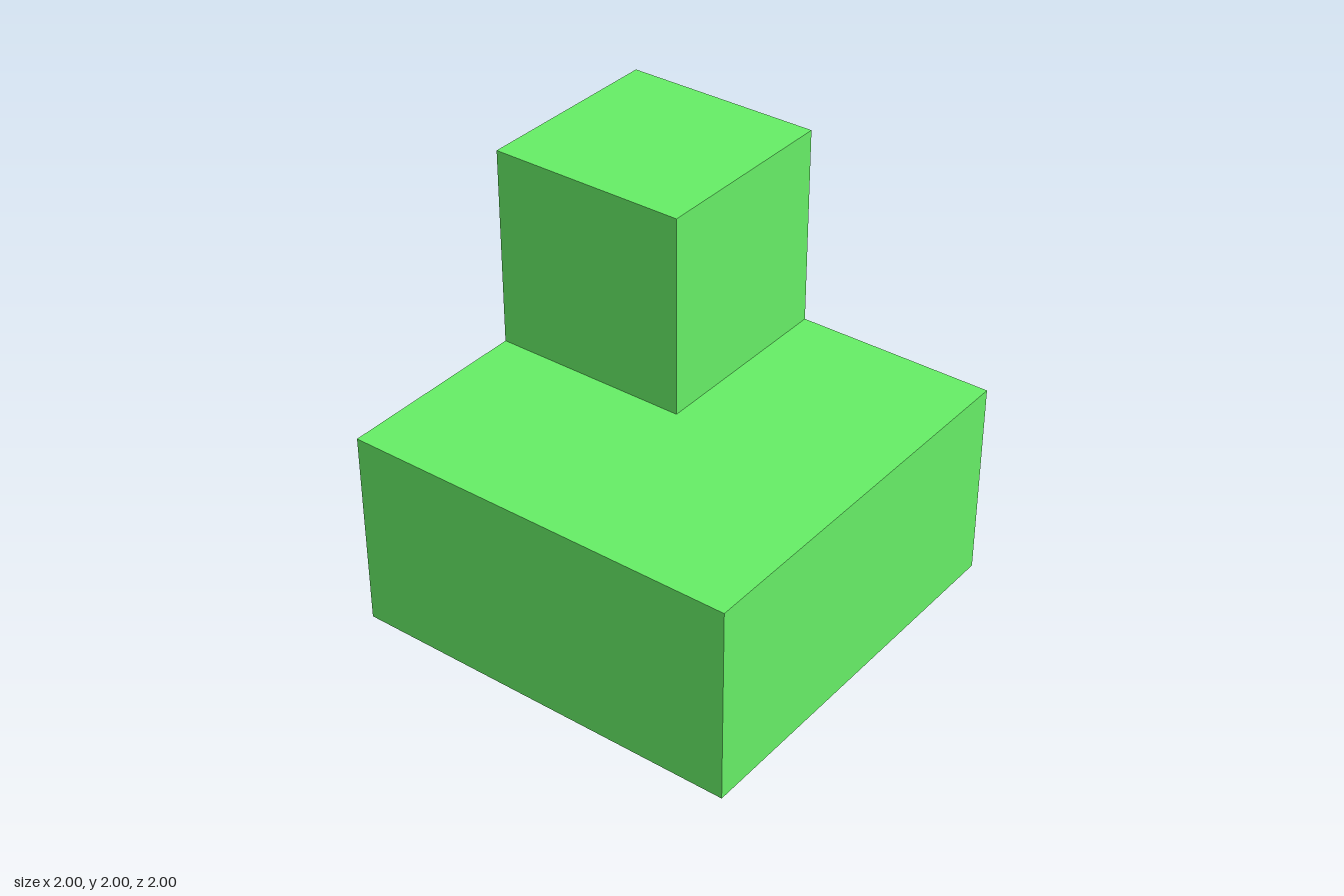
import * as THREE from 'three';

const green = new THREE.MeshStandardMaterial({ color: 0x66ee66 });
const dark = new THREE.MeshStandardMaterial({ color: 0x404040 });

// 2 x 2 L-shaped panel facing +z, with its upper corner missing on one side (+1 or -1 in x)
function lPanel(side) {
  const points = [[-1, 0], [1, 0], [1, 1], [0, 1], [0, 2], [-1, 2]];
  return new THREE.ShapeGeometry(new THREE.Shape(points.map(([x, y]) => new THREE.Vector2(x * side, y))));
}

export function createModel() {
  const group = new THREE.Group();
  const q = Math.PI / 2;

  function add(name, geometry, material, position, rotX = 0, rotY = 0) {
    const mesh = new THREE.Mesh(geometry, material);
    mesh.name = name;
    mesh.position.set(...position);
    mesh.rotation.set(rotX, rotY, 0);
    group.add(mesh);
  }

  // Dark outer faces: back, +x side and underside
  add('backFace', lPanel(1), dark, [0, 0, -1], 0, Math.PI);
  add('outerSideFace', lPanel(-1), dark, [1, 0, 0], 0, q);
  add('underside', new THREE.PlaneGeometry(2, 2), dark, [0, 0, 0], q);

  // Green low block
  add('blockTop', lPanel(1), green, [0, 1, 1], -q);
  add('blockFront', new THREE.PlaneGeometry(2, 1), green, [0, 0.5, 1]);
  add('blockSide', new THREE.PlaneGeometry(2, 1), green, [-1, 0.5, 0], 0, -q);

  // Green corner tower
  add('towerTop', new THREE.PlaneGeometry(1, 1), green, [0.5, 2, -0.5], -q);
  add('towerFront', new THREE.PlaneGeometry(1, 1), green, [0.5, 1.5, 0]);
  add('towerSide', new THREE.PlaneGeometry(1, 1), green, [0, 1.5, -0.5], 0, -q);

  return group;
}
